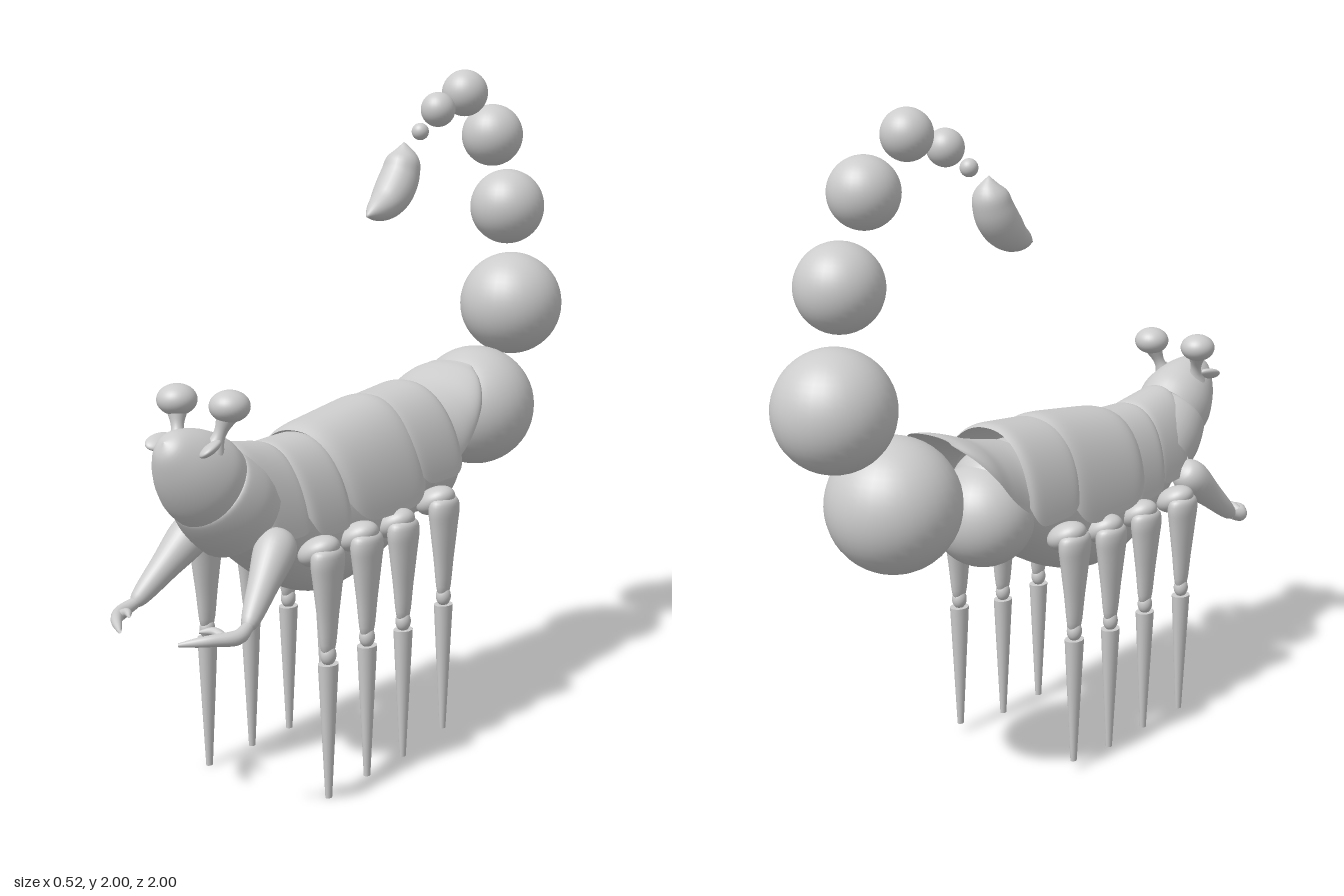
import * as THREE from 'three';
import { mergeVertices } from 'three/addons/utils/BufferGeometryUtils.js';

const V = (x, y, z) => new THREE.Vector3(x, y, z);
const mat = new THREE.MeshStandardMaterial({ color: 0xcccccc, side: THREE.DoubleSide });

function add(parent, name, geometry) {
  const m = new THREE.Mesh(geometry, mat);
  m.name = name;
  parent.add(m);
  return m;
}

// Smooth surface from a rule fn(u, v) -> Vector3
function surface(nu, nv, fn) {
  const pos = [], idx = [];
  for (let i = 0; i <= nu; i++)
    for (let j = 0; j <= nv; j++) pos.push(...fn(i / nu, j / nv).toArray());
  for (let i = 0; i < nu; i++)
    for (let j = 0; j < nv; j++) {
      const a = i * (nv + 1) + j, b = a + nv + 1;
      idx.push(a, a + 1, b, b, a + 1, b + 1);
    }
  let g = new THREE.BufferGeometry();
  g.setAttribute('position', new THREE.Float32BufferAttribute(pos, 3));
  g.setIndex(idx);
  g = mergeVertices(g, 1e-5);
  g.computeVertexNormals();
  return g;
}

// Smooth interpolation through evenly spaced values
function spline(values) {
  const c = new THREE.CatmullRomCurve3(values.map((v, i) => V(i, v, 0)));
  return u => c.getPoint(u).y;
}

// Tube along points with a changing radius
function taperTube(points, radii, nu = 24, nv = 16) {
  const curve = new THREE.CatmullRomCurve3(points);
  const frames = curve.computeFrenetFrames(nu, false);
  const rad = spline(radii);
  return surface(nu, nv, (u, v) => {
    const i = Math.round(u * nu), a = v * Math.PI * 2, r = Math.max(0, rad(u));
    return curve.getPointAt(u)
      .addScaledVector(frames.normals[i], r * Math.cos(a))
      .addScaledVector(frames.binormals[i], r * Math.sin(a));
  });
}

// Lathe whose axis starts at a point and follows a direction
function latheAlong(parent, name, profile, origin, dir) {
  const pts = new THREE.SplineCurve(profile.map(p => new THREE.Vector2(...p))).getPoints(24);
  pts.forEach(p => { p.x = Math.max(0, p.x); });
  const m = add(parent, name, new THREE.LatheGeometry(pts, 32));
  m.position.copy(origin);
  m.quaternion.setFromUnitVectors(V(0, 1, 0), dir.clone().normalize());
  return m;
}

function ball(parent, name, x, y, z, rx, ry = rx, rz = rx) {
  const m = add(parent, name, new THREE.SphereGeometry(1, 32, 24));
  m.scale.set(rx, ry, rz);
  m.position.set(x, y, z);
  return m;
}

// Arched back plate; its lower edge is rounded up at both ends
function plate(parent, z0, z1, top0, top1, w0, w1, base, low) {
  add(parent, 'backPlate', surface(24, 36, (u, v) => {
    const e = Math.abs(2 * u - 1);
    const h = THREE.MathUtils.lerp(top0, top1, u) - base;
    const lift = low - base + 0.07 * e ** 5;
    const a = (2 * v - 1) * Math.acos(lift / h);
    const w = THREE.MathUtils.lerp(w0, w1, u) - 0.012 * e ** 8;
    const c = Math.cos(a), s = Math.sin(a);
    return V(w * Math.sign(s) * Math.abs(s) ** 0.9, base + (h - 0.012 * e ** 8) * c,
      THREE.MathUtils.lerp(z0, z1, u) - 0.035 * (1 - c));
  }));
}

function leg(parent, z, x, lift) {
  const g = new THREE.Group();
  g.name = 'leg';
  g.position.set(0, lift, z);
  parent.add(g);
  // Upper leg with a domed hip, slightly flattened sideways
  const upper = latheAlong(g, 'upperLeg',
    [[0, 0.43], [0.025, 0.43], [0.04, 0.53], [0.055, 0.63], [0.062, 0.685], [0.05, 0.715], [0, 0.73]],
    V(x, 0, 0), V(0, 1, 0));
  upper.scale.x = 0.62;
  const hip = ball(g, 'hip', x - 0.03, 0.705, 0, 0.065, 0.04, 0.055);
  hip.rotation.z = 0.5;
  ball(g, 'knee', x, 0.415, 0, 0.022, 0.03, 0.024);
  const lower = add(g, 'lowerLeg', new THREE.CylinderGeometry(0.033, 0.011, 0.39, 24));
  lower.scale.x = 0.8;
  lower.position.set(x, 0.195, 0);
}

// Everything that is mirrored: legs, arm with claw, eye
function side(sign) {
  const g = new THREE.Group();
  g.name = sign > 0 ? 'leftLimbs' : 'rightLimbs';
  g.scale.x = sign;
  [[0.505, 0.215, 0], [0.31, 0.21, 0], [0.125, 0.21, 0], [-0.075, 0.222, 0.03]]
    .forEach(p => leg(g, ...p));
  const shoulder = V(0.145, 0.745, 0.64), wrist = V(0.195, 0.575, 0.83);
  const dir = wrist.clone().sub(shoulder), len = dir.length();
  latheAlong(g, 'arm', [[0, -0.045], [0.04, -0.03], [0.058, 0.02], [0.042, len * 0.5],
    [0.024, len * 0.95], [0, len + 0.015]], shoulder, dir);
  add(g, 'claw', taperTube([wrist, V(0.2, 0.56, 0.88), V(0.165, 0.56, 0.94), V(0.1, 0.552, 1)],
    [0.016, 0.02, 0.017, 0.013, 0.005]));
  add(g, 'finger', taperTube([V(0.185, 0.56, 0.91), V(0.15, 0.575, 0.915), V(0.12, 0.575, 0.94)],
    [0.012, 0.012, 0.004], 12, 12));
  // Eye on a flared stalk, with a small cheek flap below
  const base = V(0.06, 1.02, 0.8), tip = V(0.09, 1.13, 0.765);
  latheAlong(g, 'eyeStalk', [[0.034, 0], [0.02, 0.03], [0.018, 0.06], [0.03, 0.1]], base, tip.clone().sub(base));
  ball(g, 'eye', 0.09, 1.137, 0.765, 0.055, 0.043, 0.055);
  const flap = ball(g, 'cheekFlap', 0.085, 1.035, 0.84, 0.03, 0.014, 0.045);
  flap.rotation.set(0.2, 0.3, 0.5);
  return g;
}

export function createModel() {
  const root = new THREE.Group();
  root.name = 'scorpion';

  // Belly: elliptical sections from neck to rump
  const bz = spline([0.76, 0.7, 0.58, 0.44, 0.28, 0.1, -0.08, -0.22, -0.3]);
  const bottom = spline([0.84, 0.745, 0.645, 0.56, 0.515, 0.55, 0.635, 0.73, 0.85]);
  const top = spline([0.88, 0.93, 0.95, 0.95, 0.96, 0.98, 1.0, 0.98, 0.92]);
  const half = spline([0, 0.1, 0.135, 0.155, 0.165, 0.17, 0.165, 0.13, 0]);
  add(root, 'belly', surface(40, 36, (u, v) => {
    const a = v * Math.PI * 2, lo = bottom(u), hi = top(u);
    return V(half(u) * Math.cos(a), (lo + hi) / 2 + (hi - lo) / 2 * Math.sin(a), bz(u));
  }));
  ball(root, 'rump', 0, 0.802, -0.225, 0.155);

  // Overlapping back plates
  const plates = new THREE.Group();
  plates.name = 'backPlates';
  root.add(plates);
  plate(plates, 0.69, 0.5, 1.02, 0.99, 0.14, 0.155, 0.72, 0.745);
  plate(plates, 0.525, 0.34, 0.99, 0.995, 0.165, 0.175, 0.71, 0.73);
  plate(plates, 0.37, 0.0, 1.01, 1.06, 0.197, 0.205, 0.72, 0.74);
  plate(plates, 0.04, -0.21, 1.045, 1.07, 0.195, 0.2, 0.77, 0.79);
  // Tail plate sweeping up to a rounded end
  const tz = spline([-0.15, -0.22, -0.3, -0.37, -0.42, -0.46]);
  const tTop = spline([1.01, 1.025, 1.045, 1.07, 1.085, 1.09]);
  const tLow = spline([0.84, 0.835, 0.89, 0.97, 1.03, 1.075]);
  const tW = spline([0.18, 0.18, 0.18, 0.17, 0.135, 0.08]);
  add(plates, 'tailPlate', surface(24, 32, (u, v) => {
    const a = (v - 0.5) * Math.PI;
    return V(tW(u) * Math.sin(a), tLow(u) + (tTop(u) - tLow(u)) * Math.cos(a), tz(u));
  }));

  // Head and neck share one axis that points forward and up
  const neck = V(0, 0.912, 0.75), axis = V(0, 0.15, 0.18);
  const head = latheAlong(root, 'head', [[0.127, 0], [0.126, 0.05], [0.108, 0.11], [0.079, 0.165],
    [0.042, 0.21], [0, 0.228]], neck, axis);
  head.scale.x = 0.92;
  latheAlong(root, 'neck', [[0.14, -0.15], [0.14, -0.08], [0.126, -0.01], [0.112, 0.005]], neck, axis);

  root.add(side(1), side(-1));

  // Tail of separate shrinking balls: y, z, radius
  const tail = new THREE.Group();
  tail.name = 'tail';
  root.add(tail);
  [[0.925, -0.61, 0.192], [1.235, -0.832, 0.168], [1.556, -0.8, 0.121], [1.79, -0.7, 0.098],
    [1.925, -0.53, 0.072], [1.877, -0.375, 0.053], [1.813, -0.276, 0.026]]
    .forEach(([y, z, r]) => ball(tail, 'tailBall', 0, y, z, r));
  add(tail, 'stinger', taperTube(
    [V(-0.008, 1.785, -0.2), V(-0.008, 1.74, -0.197), V(-0.01, 1.67, -0.172), V(-0.01, 1.61, -0.11), V(-0.008, 1.573, 0)],
    [0, 0.047, 0.058, 0.061, 0.057, 0.045, 0.028, 0], 32, 24));
  return root;
}
